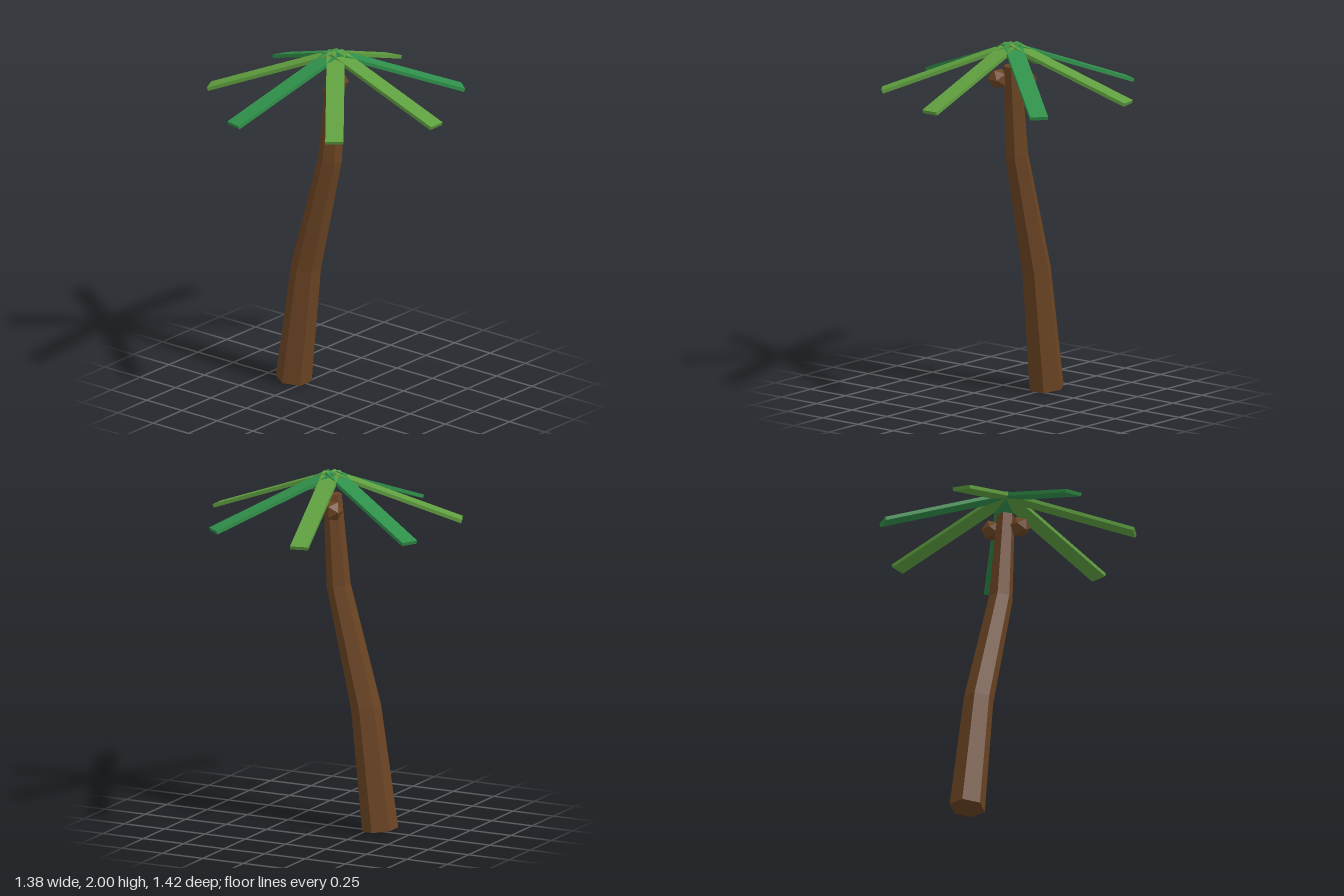
import * as THREE from 'three';

const CROWN_X = -0.025;

function flat(color) {
  return new THREE.MeshStandardMaterial({ color, flatShading: true });
}

// Tapered six-sided trunk, bent by moving each ring of a cylinder onto a path
function makeTrunk() {
  // x, y and lean (radians) of each ring, from bottom to top
  const rings = [
    [-0.322, 0.011, 0.125],
    [-0.235, 0.69, 0.185],
    [-0.065, 1.36, 0.157],
    [-0.027, 1.872, 0.07],
  ];
  const geo = new THREE.CylinderGeometry(0.05, 0.1, 1, 6, 3);
  const pos = geo.attributes.position;
  for (let i = 0; i < pos.count; i++) {
    const [cx, cy, lean] = rings[Math.round((pos.getY(i) + 0.5) * 3)];
    const x = pos.getX(i);
    pos.setXY(i, cx + x * Math.cos(lean), cy - x * Math.sin(lean));
  }
  geo.computeVertexNormals();
  const trunk = new THREE.Mesh(geo, flat(0x6b4423));
  trunk.name = 'trunk';
  return trunk;
}

// Seven drooping plank-like leaves in two alternating greens
function makeLeaves() {
  const leaves = new THREE.Group();
  leaves.name = 'leaves';
  leaves.position.set(CROWN_X, 1.9906, 0);
  const length = 0.757;
  const geo = new THREE.BoxGeometry(length, 0.02, 0.1);
  geo.translate(length / 2, 0, 0);
  geo.rotateZ(-THREE.MathUtils.degToRad(20));
  const greens = [flat(0x5f9f3f), flat(0x2f8f4a)];
  for (let i = 0; i < 7; i++) {
    const leaf = new THREE.Mesh(geo, greens[i % 2]);
    leaf.name = 'leaf';
    leaf.rotation.y = (i / 7) * Math.PI * 2;
    leaves.add(leaf);
  }
  return leaves;
}

// Two faceted coconuts on opposite sides of the trunk
function makeCoconuts() {
  const coconuts = new THREE.Group();
  coconuts.name = 'coconuts';
  const geo = new THREE.IcosahedronGeometry(0.06, 0);
  const brown = flat(0x6b4423);
  for (const [x, z] of [[0.012, 0.07], [-0.065, -0.07]]) {
    const coconut = new THREE.Mesh(geo, brown);
    coconut.name = 'coconut';
    coconut.position.set(x, 1.795, z);
    coconuts.add(coconut);
  }
  return coconuts;
}

export function createModel() {
  const model = new THREE.Group();
  model.name = 'palmTree';
  model.add(makeTrunk(), makeLeaves(), makeCoconuts());
  return model;
}
